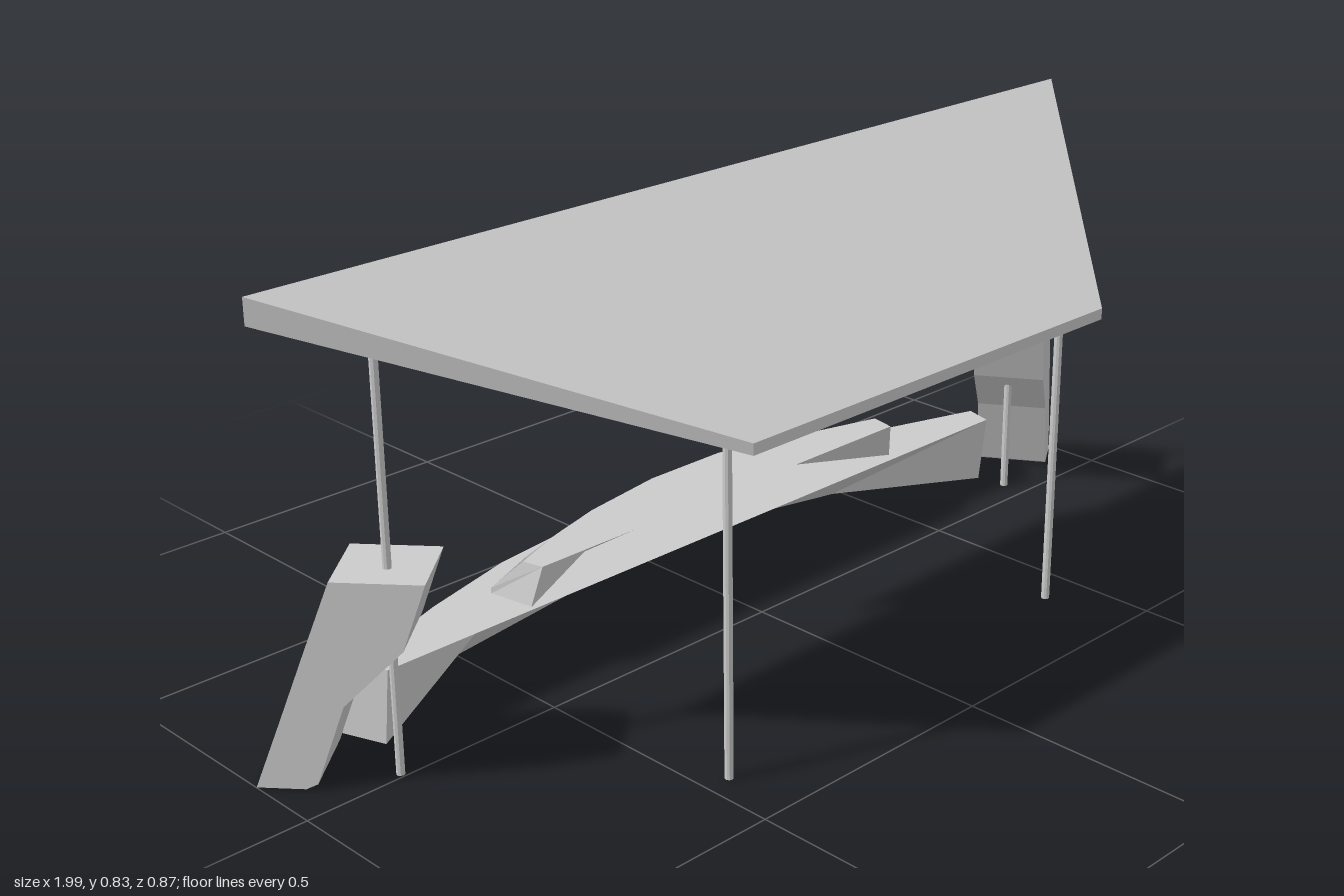
import * as THREE from 'three';

const V = (x, y, z) => new THREE.Vector3(x, y, z);
const material = new THREE.MeshStandardMaterial({ color: 0xcccccc, flatShading: true });

// Collects quads and triangles, corners counter-clockwise from outside.
class Faces {
  constructor() { this.points = []; }
  tri(a, b, c) { this.points.push(a, b, c); }
  quad(a, b, c, d) { this.tri(a, b, c); this.tri(a, c, d); }

  // A face with a raised rim and a sunken tray inside it.
  tray(corners, margin, depth) {
    const [a, b, c, d] = corners;
    const u = margin / a.distanceTo(b), v = margin / a.distanceTo(d);
    const at = (s, t) => a.clone().lerp(b, s).lerp(d.clone().lerp(c, s), t);
    const rim = [at(u, v), at(1 - u, v), at(1 - u, 1 - v), at(u, 1 - v)];
    const normal = b.clone().sub(a).cross(d.clone().sub(a)).normalize();
    const floor = rim.map((p) => p.clone().addScaledVector(normal, -depth));
    for (let i = 0; i < 4; i++) {
      const j = (i + 1) % 4;
      this.quad(corners[i], corners[j], rim[j], rim[i]);
      this.quad(rim[i], rim[j], floor[j], floor[i]);
    }
    this.quad(...floor);
  }

  mesh(name) {
    const geometry = new THREE.BufferGeometry().setFromPoints(this.points);
    geometry.computeVertexNormals();
    const mesh = new THREE.Mesh(geometry, material);
    mesh.name = name;
    return mesh;
  }
}

// Joins cross-sections into a closed solid; the listed edges become trays.
function loft(name, sections, trayEdges = [], margin = 0.01, depth = 0.03) {
  const faces = new Faces();
  const n = sections[0].length;
  for (let i = 0; i + 1 < sections.length; i++) {
    const p = sections[i], q = sections[i + 1];
    for (let k = 0; k < n; k++) {
      const m = (k + 1) % n;
      const corners = [p[k], q[k], q[m], p[m]];
      if (trayEdges.includes(k)) faces.tray(corners, margin, depth);
      else faces.quad(...corners);
    }
  }
  const first = sections[0], last = sections[sections.length - 1];
  for (let k = 1; k + 1 < n; k++) {
    faces.tri(first[0], first[k], first[k + 1]);
    faces.tri(last[0], last[k + 1], last[k]);
  }
  return faces.mesh(name);
}

// Curved counter: straight front edge on top, undercut to an arc below.
// Rows hold [x, z] of the front edge, foot arc, tray top and outer edge.
function counter(name, rows, base, top, lip, depth) {
  const sections = rows.map(([front, foot, inner, outer]) => [
    V(front[0], top, front[1]),
    V(inner[0], top, inner[1]),
    V(outer[0], lip, outer[1]),
    V(outer[0], base, outer[1]),
    V(foot[0], base, foot[1]),
  ]);
  return loft(name, sections, [1], 0.009, depth);
}

// Side stand with three stacked trays; (ox, oz) is its outward direction.
function sideStand(name, x, z, ox, oz) {
  const profile = [
    [-0.01, 0.15], [-0.11, 0.25], [-0.15, 0.365], [0, 0.365],
    [0.047, 0.243], [0.093, 0.122], [0.14, 0], [0.06, 0], [0.04, 0.01],
  ];
  const sections = [0, 0.14].map((w) =>
    profile.map(([o, y]) => V(x + ox * o - oz * w, y, z + oz * o + ox * w)));
  return loft(name, sections, [3, 4, 5], 0.012, 0.036);
}

const canopyUnderside = (z) => 0.785 - 0.404 * (z + 0.078);

function rod(name, x, z, bottom, radius) {
  const height = canopyUnderside(z) + 0.005 - bottom;
  const mesh = new THREE.Mesh(new THREE.CylinderGeometry(radius, radius, height, 10), material);
  mesh.position.set(x, bottom + height / 2, z);
  mesh.name = name;
  return mesh;
}

export function createModel() {
  const model = new THREE.Group();
  model.name = 'marketStall';

  // Tapered sloping canopy
  const canopySide = (xFront, xBack) => [
    V(xFront, 0.597, 0.436), V(xBack, 0.83, -0.078),
    V(xBack, 0.785, -0.078), V(xFront, 0.577, 0.436),
  ];
  model.add(loft('canopy', [canopySide(-0.46, -0.985), canopySide(0.395, 0.897)]));

  // Canopy poles
  for (const [name, x, z] of [
    ['frontRightPole', -0.455, 0.375], ['frontLeftPole', 0.41, 0.335],
    ['backRightPole', -0.815, -0.008], ['backLeftPole', 0.765, -0.05],
  ]) model.add(rod(name, x, z, 0, 0.0075));

  // Hanging sign board
  const board = new THREE.Mesh(new THREE.BoxGeometry(0.58, 0.128, 0.007), material);
  board.position.set(-0.05, 0.659, -0.06);
  board.name = 'signBoard';
  model.add(board);
  for (const x of [-0.325, 0.225]) model.add(rod('signHanger', x, -0.06, 0.72, 0.003));

  // Lower counter
  model.add(counter('lowerCounter', [
    [[-0.77, -0.09], [-0.775, -0.1], [-0.787, -0.14], [-0.83, -0.25]],
    [[-0.59, -0.09], [-0.59, -0.25], [-0.575, -0.22], [-0.62, -0.335]],
    [[-0.39, -0.09], [-0.39, -0.31], [-0.385, -0.272], [-0.41, -0.39]],
    [[-0.1, -0.09], [-0.1, -0.345], [-0.095, -0.31], [-0.1, -0.436]],
    [[0.2, -0.09], [0.2, -0.34], [0.195, -0.31], [0.21, -0.436]],
    [[0.48, -0.09], [0.48, -0.27], [0.49, -0.232], [0.53, -0.35]],
    [[0.75, -0.09], [0.755, -0.11], [0.765, -0.145], [0.81, -0.26]],
  ], 0, 0.138, 0.03, 0.038));

  // Upper counter
  model.add(counter('upperCounter', [
    [[-0.44, -0.09], [-0.46, -0.1], [-0.45, -0.13], [-0.475, -0.19]],
    [[-0.34, -0.09], [-0.34, -0.2], [-0.335, -0.175], [-0.355, -0.243]],
    [[-0.23, -0.09], [-0.23, -0.235], [-0.225, -0.207], [-0.235, -0.275]],
    [[-0.055, -0.09], [-0.055, -0.265], [-0.053, -0.235], [-0.058, -0.305]],
    [[0.12, -0.09], [0.12, -0.265], [0.12, -0.235], [0.13, -0.305]],
    [[0.29, -0.09], [0.29, -0.215], [0.295, -0.187], [0.31, -0.255]],
    [[0.45, -0.09], [0.47, -0.11], [0.46, -0.14], [0.485, -0.2]],
  ], 0.137, 0.21, 0.148, 0.022));

  // Side stands
  model.add(sideStand('leftStand', 0.794, -0.148, 0.84, -0.54));
  model.add(sideStand('rightStand', -0.91, -0.03, -0.65, -0.76));

  return model;
}
